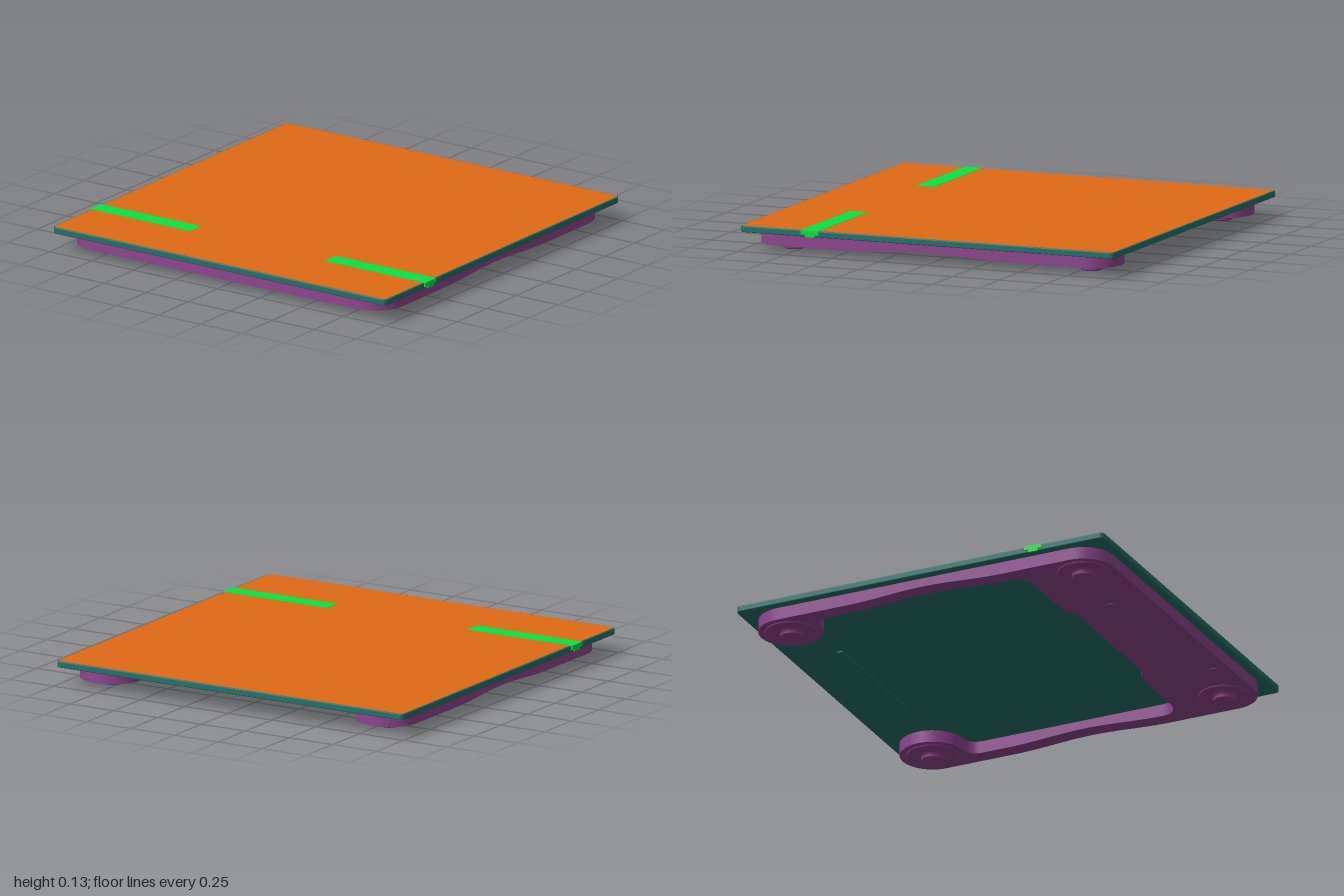
import * as THREE from 'three';

const mat = (color) => new THREE.MeshStandardMaterial({ color });
const glassMat = mat(0x24706a), topMat = mat(0xe06a14), stripMat = mat(0x0ae043), frameMat = mat(0x8e448e);

const UNDER = 0.095, BASE = 0.033; // underside of the plate, underside of the frame
const PAD = 0.79, PAD_R = 0.16, EDGE = 0.95, INNER = 0.865;

function add(parent, name, geometry, material, x = 0, y = 0, z = 0) {
  const mesh = new THREE.Mesh(geometry, material);
  mesh.name = name;
  mesh.position.set(x, y, z);
  parent.add(mesh);
  return mesh;
}

// Extrudes a plan outline (x, z) downwards from y = 0
function slab(shape, depth, bevel = 0) {
  const geo = new THREE.ExtrudeGeometry(shape, {
    depth: depth - 2 * bevel, curveSegments: 24, bevelEnabled: bevel > 0,
    bevelThickness: bevel, bevelSize: bevel, bevelOffset: -bevel, bevelSegments: 3,
  });
  geo.rotateX(Math.PI / 2);
  geo.translate(0, -bevel, 0);
  return geo;
}

function roundedSquare(h, r) {
  const s = new THREE.Shape();
  s.absarc(h - r, h - r, r, 0, Math.PI / 2);
  s.absarc(r - h, h - r, r, Math.PI / 2, Math.PI);
  s.absarc(r - h, r - h, r, Math.PI, Math.PI * 1.5);
  s.absarc(h - r, r - h, r, Math.PI * 1.5, Math.PI * 2);
  s.closePath();
  return s;
}

// Wide side panel with rounded outer corners and a stepped inner edge
function panelShape() {
  const s = new THREE.Shape();
  s.moveTo(-0.42, -EDGE);
  s.lineTo(-0.42, -INNER);
  s.quadraticCurveTo(-0.5, -INNER, -0.51, -0.77);
  s.lineTo(-0.51, -0.44);
  s.lineTo(-0.55, -0.36);
  s.lineTo(-0.55, 0.36);
  s.lineTo(-0.51, 0.44);
  s.lineTo(-0.51, 0.77);
  s.quadraticCurveTo(-0.5, INNER, -0.42, INNER);
  s.lineTo(-0.42, EDGE);
  s.absarc(-PAD, PAD, PAD_R, Math.PI / 2, Math.PI);
  s.absarc(-PAD, -PAD, PAD_R, Math.PI, Math.PI * 1.5);
  s.closePath();
  return s;
}

// Round free end of an arm, blended into the narrow bar
function armEndShape(side) {
  const s = new THREE.Shape();
  s.moveTo(0.55, side * EDGE);
  s.lineTo(PAD, side * EDGE);
  s.absarc(PAD, side * PAD, PAD_R, side * Math.PI / 2, side * Math.PI * -0.98, side > 0);
  s.quadraticCurveTo(0.63, side * INNER, 0.55, side * INNER);
  s.closePath();
  return s;
}

// Narrow bar with a gently arched underside
function barGeometry() {
  const x0 = -0.42, x1 = 0.55, n = 32;
  const s = new THREE.Shape();
  s.moveTo(x1, UNDER);
  s.lineTo(x0, UNDER);
  for (let i = 0; i <= n; i++) {
    const x = x0 + (x1 - x0) * i / n;
    const t = Math.min(1, Math.abs(x) / 0.42);
    s.lineTo(x, BASE + 0.009 * (1 + Math.cos(Math.PI * t)));
  }
  s.closePath();
  return new THREE.ExtrudeGeometry(s, { depth: EDGE - INNER, bevelEnabled: false });
}

// Raised ring, groove and round rubber foot
function footGeometry() {
  const p = [[0, 0], [0.045, 0], [0.053, 0.004], [0.055, 0.008], [0.055, 0.03], [0.075, 0.03],
    [0.08, 0.026], [0.125, 0.026], [0.13, 0.029], [0.13, 0.04]];
  return new THREE.LatheGeometry(p.map(([r, y]) => new THREE.Vector2(r, y)), 40);
}

export function createModel() {
  const model = new THREE.Group();
  model.name = 'bathroomScale';

  // Platform
  add(model, 'glassPlate', slab(roundedSquare(0.993, 0.025), 0.032, 0.005), glassMat, 0, 0.127, 0);
  add(model, 'topSurface', slab(roundedSquare(0.986, 0.02), 0.004), topMat, 0, 0.1275, 0);
  add(model, 'undersideLabel', new THREE.BoxGeometry(0.03, 0.008, 0.74), glassMat, 0.73, UNDER - 0.002, 0);

  // Contact strips wrapped over the front and back edges
  for (const side of [1, -1]) {
    const strip = new THREE.Group();
    strip.name = side > 0 ? 'frontStrip' : 'backStrip';
    add(strip, 'stripTop', new THREE.BoxGeometry(0.094, 0.004, 0.6), stripMat, -0.617, 0.1265, side * 0.7);
    add(strip, 'stripEdge', new THREE.BoxGeometry(0.094, 0.02, 0.01), stripMat, -0.617, 0.1175, side * 0.995);
    add(strip, 'stripClip', new THREE.BoxGeometry(0.05, 0.014, 0.01), stripMat, -0.617, 0.102, side * 0.994);
    model.add(strip);
  }

  // U-shaped frame
  const frame = new THREE.Group();
  frame.name = 'frame';
  const depth = UNDER - BASE;
  add(frame, 'sidePanel', slab(panelShape(), depth), frameMat, 0, UNDER, 0);
  for (const side of [1, -1]) {
    const label = side > 0 ? 'front' : 'back';
    add(frame, label + 'Bar', barGeometry(), frameMat, 0, 0, side > 0 ? INNER : -EDGE);
    add(frame, label + 'ArmEnd', slab(armEndShape(side), depth), frameMat, 0, UNDER, 0);
  }
  model.add(frame);

  // Feet
  const foot = footGeometry();
  const footMat = frameMat.clone();
  footMat.side = THREE.DoubleSide;
  for (const x of [PAD, -PAD])
    for (const z of [PAD, -PAD]) add(model, 'foot', foot, footMat, x, 0, z);

  // Small buttons under the side panel
  for (const [x, z] of [[-0.87, 0.5], [-0.75, -0.39]])
    add(model, 'button', new THREE.CylinderGeometry(0.022, 0.022, 0.01, 24), frameMat, x, BASE + 0.002, z);

  return model;
}
